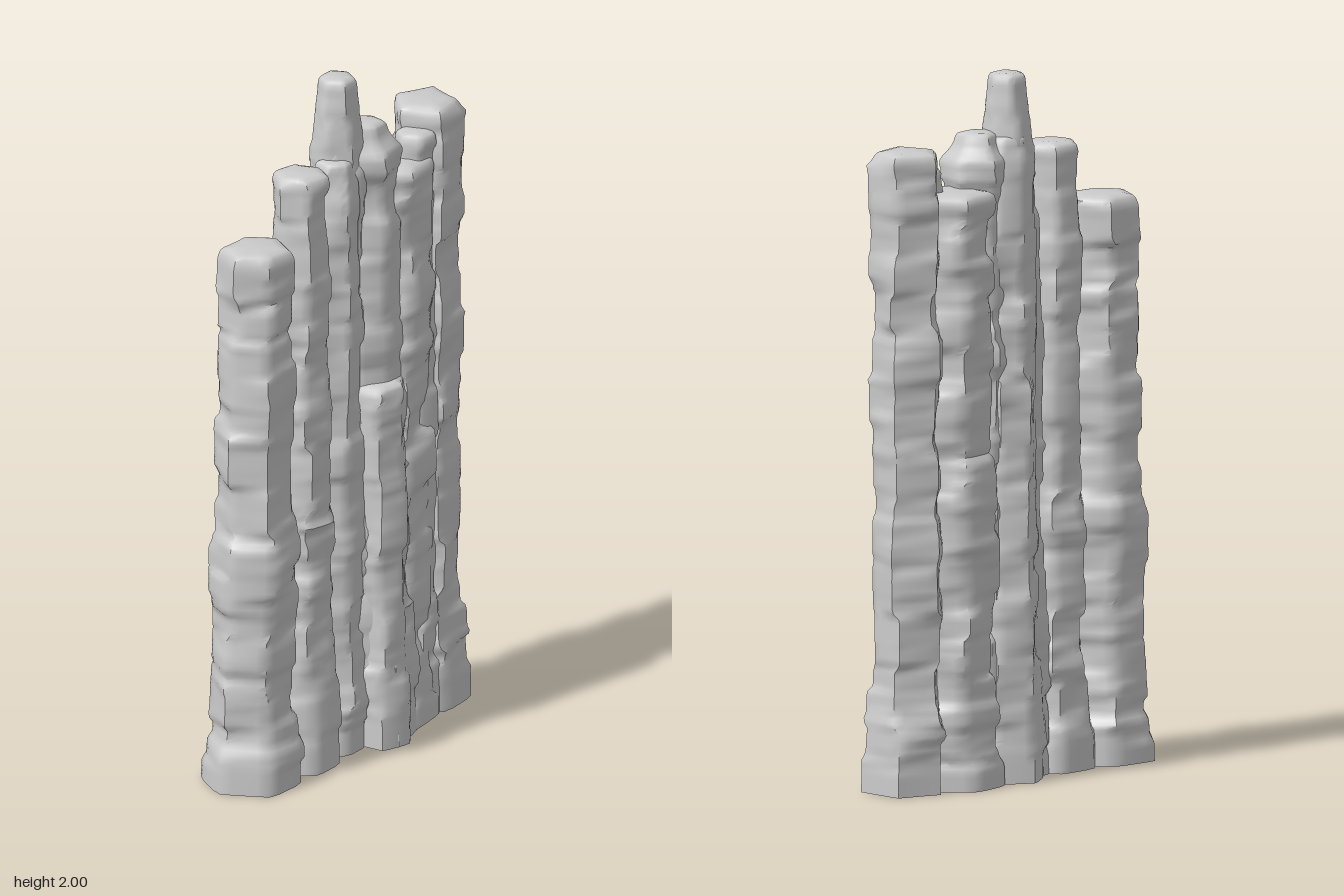
import * as THREE from 'three';
import { toCreasedNormals } from 'three/addons/utils/BufferGeometryUtils.js';

const { lerp, smoothstep } = THREE.MathUtils;

// Small seeded random generator
function seeded(seed) {
  let s = seed * 7919 + 17;
  return () => {
    s = (s + 0x6d2b79f5) | 0;
    let t = Math.imul(s ^ (s >>> 15), 1 | s);
    t = (t + Math.imul(t ^ (t >>> 7), 61 | t)) ^ t;
    return ((t ^ (t >>> 14)) >>> 0) / 4294967296;
  };
}

// Stacked ledges: a value per layer with a short blend between layers
function layers(rand, height, min, max) {
  const list = [];
  for (let y = 0; y < height + max; y += min + rand() * (max - min)) {
    list.push({ y, v: rand() * 2 - 1 });
  }
  return (y) => {
    let v = list[0].v;
    for (let i = 1; i < list.length; i++) {
      v = lerp(v, list[i].v, smoothstep(y, list[i].y - 0.012, list[i].y + 0.012));
    }
    return v;
  };
}

// Weathered polygonal rock column: rings with ledges, closed top and bottom.
// drop and taper narrow the column towards its tip.
function columnGeometry({ base, top, h, r0, r1, sides = 6, rot = 0, rough = 1, drop = 0.1, taper = 0 }, seed) {
  const rand = seeded(seed);
  const shared = layers(rand, h, 0.06, 0.14);
  const corners = Array.from({ length: sides }, () => layers(rand, h, 0.06, 0.17));
  const faces = Array.from({ length: sides }, () => layers(rand, h, 0.06, 0.17));
  const bend = layers(rand, h, 0.08, 0.2);
  const per = 4, n = sides * per;
  const pos = [], index = [];

  // Heights and inward scale of every ring, with a rounded upper rim
  const rings = [];
  const count = Math.round((h - 0.03) / 0.013);
  for (let i = 0; i <= count; i++) rings.push([(i / count) * (h - 0.03), 1]);
  rings.push([h - 0.013, 0.96], [h - 0.005, 0.87], [h, 0.6]);

  for (const [y, scale] of rings) {
    const t = y / h;
    const flare = 1 + 0.08 * (1 - smoothstep(y, 0.05, 0.27));
    const tip = 1 - taper * smoothstep(y, h - drop, h - 0.02);
    const radius = lerp(r0, r1, t) * flare * tip * scale;
    const cx = lerp(base[0], top[0], t);
    const cz = lerp(base[1], top[1], t);
    const twist = rot + bend(y) * 0.14;
    const ledge = shared(y);
    const pts = corners.map((f, k) => {
      const a = twist + (k / sides) * Math.PI * 2;
      const r = radius * (1 + rough * (0.065 * ledge + 0.11 * f(y)));
      return [Math.cos(a) * r, Math.sin(a) * r];
    });
    for (let k = 0; k < sides; k++) {
      const p = pts[k], q = pts[(k + 1) % sides];
      const block = 1.01 + rough * 0.06 * faces[k](y);
      for (let j = 0; j < per; j++) {
        const f = j / per;
        // Corners are slightly softened, faces move in and out as blocks
        const g = j === 0 ? 0.98 : block;
        pos.push(cx + lerp(p[0], q[0], f) * g, y, cz + lerp(p[1], q[1], f) * g);
      }
    }
  }
  const last = rings.length - 1;
  for (let i = 0; i < last; i++) {
    for (let j = 0; j < n; j++) {
      const a = i * n + j, b = i * n + ((j + 1) % n);
      index.push(a, a + n, b, b, a + n, b + n);
    }
  }
  // Caps
  const bottom = pos.length / 3;
  pos.push(base[0], 0, base[1], top[0], h, top[1]);
  for (let j = 0; j < n; j++) {
    const k = (j + 1) % n;
    index.push(bottom, j, k, bottom + 1, last * n + k, last * n + j);
  }
  const geo = new THREE.BufferGeometry();
  geo.setAttribute('position', new THREE.Float32BufferAttribute(pos, 3));
  geo.setIndex(index);
  return toCreasedNormals(geo, 0.9);
}

export function createModel() {
  const group = new THREE.Group();
  group.name = 'rockPillars';
  const material = new THREE.MeshStandardMaterial({ color: 0xcccccc, roughness: 0.9 });

  // Columns along the diagonal; base and top are [x, z] centres
  const columns = [
    { name: 'outerRightColumn', base: [-0.295, 0.215], top: [-0.283, 0.215], h: 1.61, r0: 0.13, r1: 0.1, rot: 1.4 },
    { name: 'innerRightColumn', base: [-0.13, 0.113], top: [-0.133, 0.108], h: 1.78, r0: 0.108, r1: 0.078, rot: 0.5 },
    { name: 'centreFrontColumn', base: [-0.02, 0.02], top: [-0.01, 0.02], h: 1.77, r0: 0.098, r1: 0.07, rot: 0.2, drop: 0.08, taper: 0.2 },
    { name: 'centreColumn', base: [0.02, -0.06], top: [0.015, -0.045], h: 1.83, r0: 0.105, r1: 0.08, rot: 0.9, drop: 0.08, taper: 0.15 },
    { name: 'centreSpire', base: [0.01, -0.03], top: [0.01, -0.032], h: 2.0, r0: 0.09, r1: 0.074, rot: 0.3, rough: 0.6, drop: 0.2, taper: 0.24 },
    { name: 'shoulderColumn', base: [0.11, -0.045], top: [0.095, -0.07], h: 1.84, r0: 0.125, r1: 0.092, rot: 0.1, drop: 0.09, taper: 0.35 },
    { name: 'frontLedgeColumn', base: [0.125, 0.005], top: [0.12, -0.005], h: 1.08, r0: 0.085, r1: 0.08, rot: 0.7 },
    { name: 'broadLeftColumn', base: [0.175, -0.15], top: [0.188, -0.155], h: 1.69, r0: 0.13, r1: 0.12, rot: 0.25 },
    { name: 'smallLeftColumn', base: [0.255, -0.165], top: [0.26, -0.163], h: 1.76, r0: 0.075, r1: 0.06, rot: 0.4 },
    { name: 'outerLeftColumn', base: [0.312, -0.238], top: [0.313, -0.24], h: 1.82, r0: 0.112, r1: 0.1, sides: 5, rot: 0.15 },
  ];
  columns.forEach((c, i) => {
    const mesh = new THREE.Mesh(columnGeometry(c, i + 3), material);
    mesh.name = c.name;
    group.add(mesh);
  });
  return group;
}
